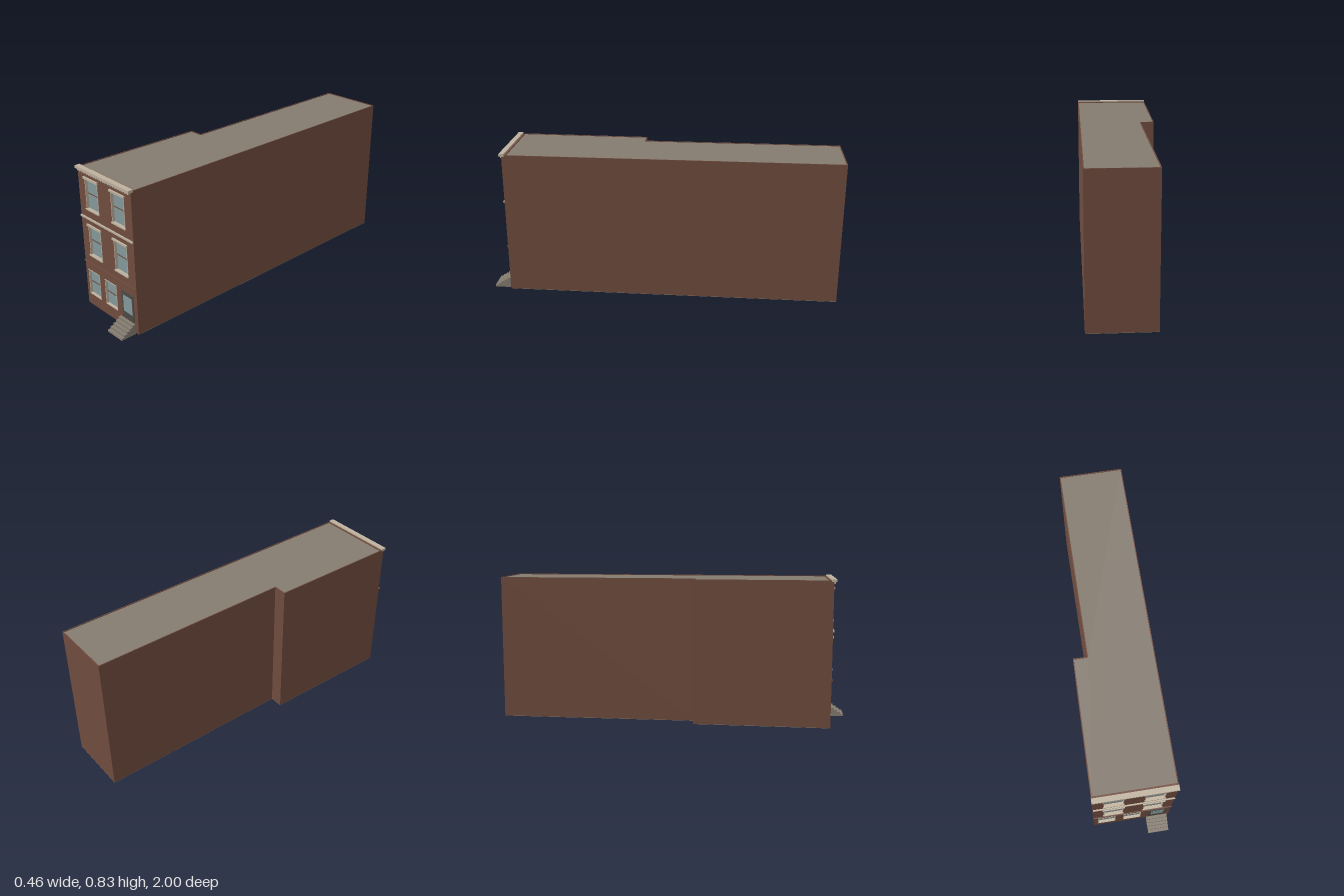
import * as THREE from 'three';

const mat = (name, color) => Object.assign(new THREE.MeshStandardMaterial({ color }), { name });

export function createModel() {
  const brick = mat('brick', 0x704c3e);
  const stone = mat('roof and step grey', 0x857c70);
  const trim = mat('pale trim', 0xbeb19e);
  const glass = mat('glass', 0x84999c);
  const doorGrey = mat('door grey', 0x4a4a46);
  const model = new THREE.Group();
  model.name = 'rowHouse';

  const add = (name, geometry, material, parent = model) => {
    const mesh = new THREE.Mesh(geometry, material);
    mesh.name = name;
    parent.add(mesh);
    return mesh;
  };
  // Box given by its limits on each axis
  const box = (name, x0, x1, y0, y1, z0, z1, material, parent) => {
    const g = new THREE.BoxGeometry(x1 - x0, y1 - y0, z1 - z0);
    g.translate((x0 + x1) / 2, (y0 + y1) / 2, (z0 + z1) / 2);
    return add(name, g, material, parent);
  };

  // Footprint, optionally inset by d; shape y runs towards the back
  const FRONT = 0.902, BACK_OF_FACADE = 0.882;
  const footprint = (d) => [
    [-0.232 + d, -BACK_OF_FACADE + d], [0.219 - d, -BACK_OF_FACADE + d],
    [0.23 - d, 1 - d], [-0.134 + d, 1 - d],
    [-0.14 + d, -0.13 - d], [-0.217 + d, -0.13 - d],
  ].map(([x, y]) => new THREE.Vector2(x, y));
  const upright = (shape, y0, y1) => {
    const g = new THREE.ExtrudeGeometry(shape, { depth: y1 - y0, bevelEnabled: false });
    return g.rotateX(-Math.PI / 2).translate(0, y0, 0);
  };

  // Outer walls with a low parapet, filled by the roof slab
  const walls = new THREE.Shape(footprint(0));
  walls.holes.push(new THREE.Path(footprint(0.005)));
  add('walls', upright(walls, 0.002, 0.825), brick);
  add('roof', upright(new THREE.Shape(footprint(0.005)), 0.002, 0.821), stone);
  add('floor', upright(new THREE.Shape(footprint(0)), 0, 0.002), stone);

  // Window openings: x0, x1, y0, y1, and whether they have a lintel
  const windows = [];
  for (const [y0, y1] of [[0.602, 0.775], [0.326, 0.502]]) {
    windows.push([-0.171, -0.065, y0, y1, true], [0.052, 0.158, y0, y1, true]);
  }
  windows.push([-0.205, -0.106, 0.072, 0.221, false], [-0.056, 0.043, 0.072, 0.221, false]);

  // Facade pierced by the windows
  const rect = (T, x0, x1, y0, y1) => new T([[x0, y0], [x1, y0], [x1, y1], [x0, y1]].map((p) => new THREE.Vector2(...p)));
  const front = rect(THREE.Shape, -0.232, 0.219, 0, 0.825);
  for (const [x0, x1, y0, y1] of windows) front.holes.push(rect(THREE.Path, x0, x1, y0, y1));
  const facade = new THREE.ExtrudeGeometry(front, { depth: FRONT - BACK_OF_FACADE, bevelEnabled: false });
  add('facade', facade.translate(0, 0, BACK_OF_FACADE), brick);

  // Sashes, jambs, sills and lintels
  for (const [x0, x1, y0, y1, lintel] of windows) {
    const w = new THREE.Group();
    w.name = 'window';
    model.add(w);
    const mid = (y0 + y1) / 2;
    box('pane', x0, x1, y0, y1, 0.882, 0.888, glass, w);
    box('meetingRail', x0, x1, mid - 0.002, mid + 0.002, 0.888, 0.892, brick, w);
    for (const x of [x0, x1]) box('jamb', x - 0.002, x + 0.002, y0, y1, 0.889, 0.904, trim, w);
    if (lintel) {
      box('lintel', x0 - 0.009, x1 + 0.009, y1 - 0.002, y1 + 0.009, 0.89, 0.911, trim, w);
      box('sill', x0 - 0.005, x1 + 0.005, y0 - 0.006, y0 + 0.002, 0.89, 0.909, trim, w);
    } else {
      box('head', x0 - 0.002, x1 + 0.002, y1 - 0.002, y1 + 0.002, 0.889, 0.904, trim, w);
      box('sill', x0 - 0.003, x1 + 0.003, y0 - 0.002, y0 + 0.002, 0.889, 0.905, trim, w);
    }
  }

  // Floor bands
  box('upperBand', -0.23, 0.218, 0.541, 0.551, 0.895, 0.91, trim);
  box('lowerBand', -0.232, 0.219, 0.268, 0.275, 0.895, 0.908, brick);

  // Cornice with dentils
  box('cornice', -0.234, 0.22, 0.817, 0.832, 0.888, 0.917, trim);
  const count = 22, pitch = 0.445 / count;
  for (let i = 0; i < count; i++) {
    const x = -0.23 + (i + 0.5) * pitch;
    box('dentil', x - 0.005, x + 0.005, 0.806, 0.817, 0.898, 0.911, trim);
  }

  // Door with a glazed panel
  box('door', 0.091, 0.19, 0.06, 0.221, 0.895, 0.905, doorGrey);
  box('doorGlass', 0.105, 0.179, 0.101, 0.199, 0.9, 0.907, glass);

  // Stoop of five steps
  for (let i = 0; i < 5; i++) {
    box('step', 0.08, 0.202, i * 0.012, (i + 1) * 0.012, 0.909, 1 - i * 0.0182, stone);
  }
  return model;
}
